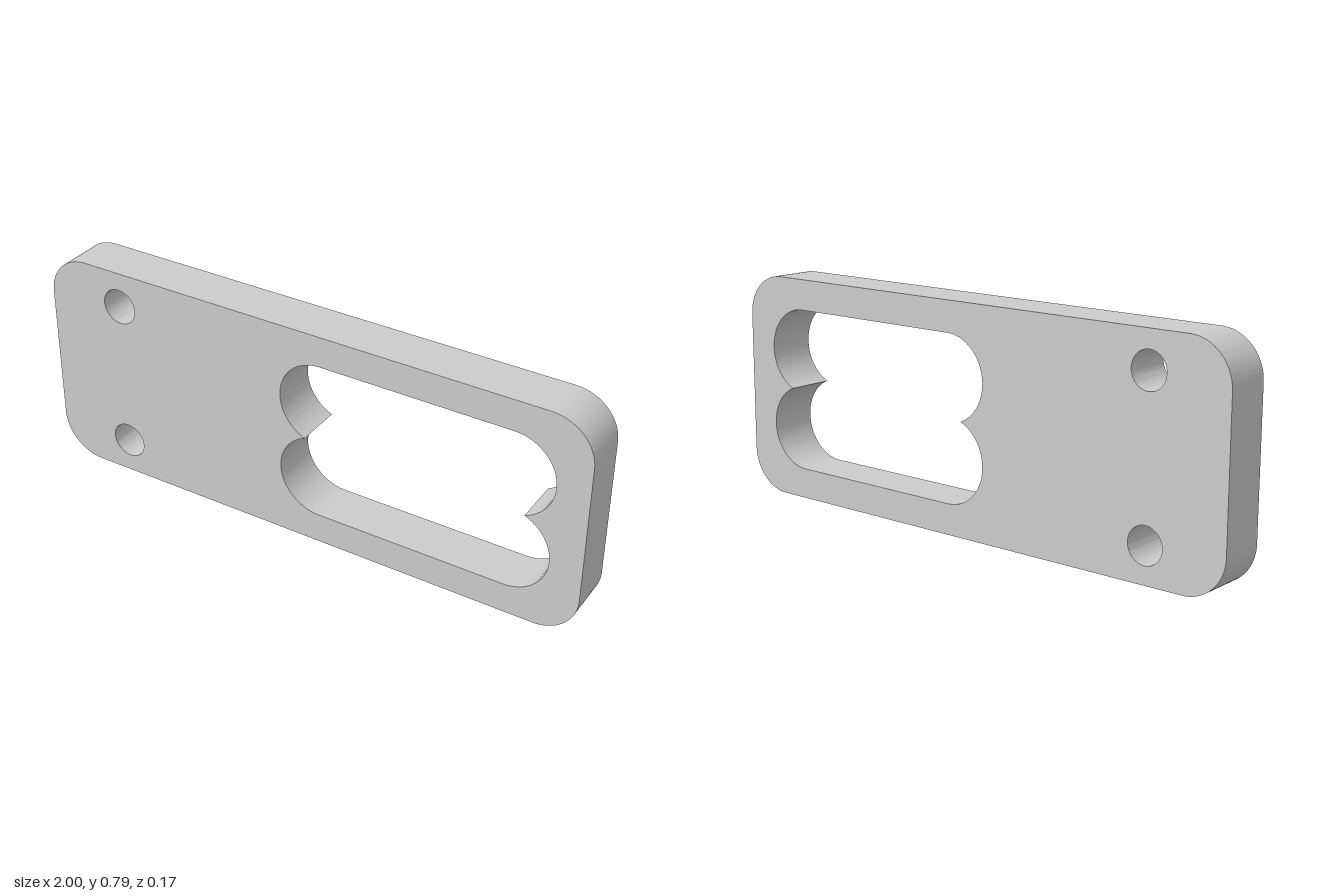
import * as THREE from 'three';
import { toCreasedNormals } from 'three/addons/utils/BufferGeometryUtils.js';

const HEIGHT = 0.785, DEPTH = 0.168, MID = HEIGHT / 2;

// Plate outline with rounded corners
function roundedOutline(halfWidth, height, r) {
  const s = new THREE.Shape();
  const x = halfWidth - r, q = Math.PI / 2;
  s.absarc(x, r, r, -q, 0);
  s.absarc(x, height - r, r, 0, q);
  s.absarc(-x, height - r, r, q, 2 * q);
  s.absarc(-x, r, r, 2 * q, 3 * q);
  s.closePath();
  return s;
}

// Two overlapping horizontal slots merged into one opening, with cusps at mid height
function doubleSlot(x0, x1, offset, r) {
  const p = new THREE.Path();
  const a = Math.asin(offset / r), q = Math.PI / 2;
  const low = MID - offset, high = MID + offset;
  p.absarc(x1, low, r, -q, a);
  p.absarc(x1, high, r, -a, q);
  p.absarc(x0, high, r, q, Math.PI + a);
  p.absarc(x0, low, r, Math.PI - a, 3 * q);
  p.closePath();
  return p;
}

export function createModel() {
  const group = new THREE.Group();
  group.name = 'slottedPlate';

  const outline = roundedOutline(1, HEIGHT, 0.148);
  outline.holes.push(doubleSlot(0.068, 0.742, 0.1375, 0.148));

  // Pair of round bolt holes
  for (const side of [-1, 1]) {
    const hole = new THREE.Path();
    hole.absarc(-0.716, MID + side * 0.267, 0.063, 0, Math.PI * 2);
    outline.holes.push(hole);
  }

  const geometry = new THREE.ExtrudeGeometry(outline, {
    depth: DEPTH, bevelEnabled: false, curveSegments: 24,
  });
  geometry.translate(0, 0, -DEPTH / 2);

  const plate = new THREE.Mesh(
    toCreasedNormals(geometry, Math.PI / 6),
    new THREE.MeshStandardMaterial({ color: 0xcccccc }),
  );
  plate.name = 'plate';
  group.add(plate);
  return group;
}
